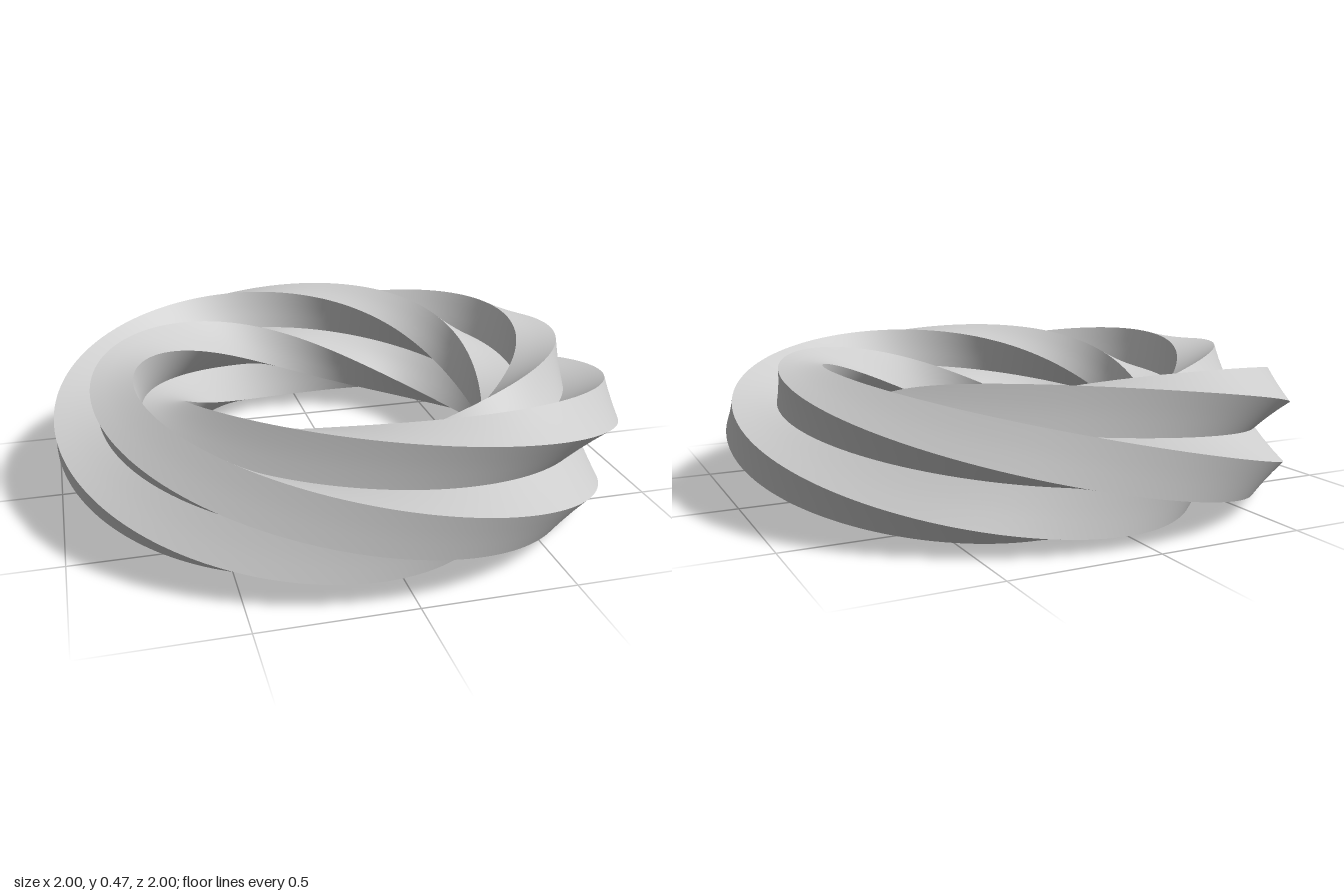
import * as THREE from 'three';

const RING = 0.7735;   // radius of the ring's centre line
const ARM = 0.225;     // length of each arm of the cross-section
const HALF = 0.075;    // half width of an arm
const STEPS = 256;     // around the ring
const ACROSS = 3;      // across each face
const HEIGHT = Math.hypot(ARM, HALF);

// Plus-shaped cross-section, counter-clockwise: four arms, three corners each
function plusProfile() {
  const points = [];
  for (let i = 0; i < 4; i++) {
    for (const [u, v] of [[ARM, -HALF], [ARM, HALF], [HALF, HALF]]) {
      points.push(new THREE.Vector2(u, v).rotateAround(new THREE.Vector2(), i * Math.PI / 2));
    }
  }
  return points;
}

// Sweeps the profile round the ring with one full twist; every side of the
// profile is its own closed strip, so the ridges stay sharp
function twistedRing(profile) {
  const positions = [];
  const indices = [];
  const origin = new THREE.Vector2();
  const row = ACROSS + 1;
  profile.forEach((from, k) => {
    const to = profile[(k + 1) % profile.length];
    const base = positions.length / 3;
    for (let i = 0; i < STEPS; i++) {
      const a = (i / STEPS) * Math.PI * 2;
      for (let j = 0; j <= ACROSS; j++) {
        const p = from.clone().lerp(to, j / ACROSS).rotateAround(origin, a);
        const r = RING + p.x;
        positions.push(r * Math.cos(a), HEIGHT + p.y, r * Math.sin(a));
        if (j < ACROSS) {
          const here = base + i * row + j;
          const next = base + ((i + 1) % STEPS) * row + j;
          indices.push(here, here + 1, next, here + 1, next + 1, next);
        }
      }
    }
  });
  const geometry = new THREE.BufferGeometry();
  geometry.setAttribute('position', new THREE.Float32BufferAttribute(positions, 3));
  geometry.setIndex(indices);
  geometry.computeVertexNormals();
  return geometry;
}

export function createModel() {
  const group = new THREE.Group();
  group.name = 'twistedRingSculpture';
  const ring = new THREE.Mesh(
    twistedRing(plusProfile()),
    new THREE.MeshStandardMaterial({ color: 0xcccccc })
  );
  ring.name = 'twistedRing';
  group.add(ring);
  return group;
}
